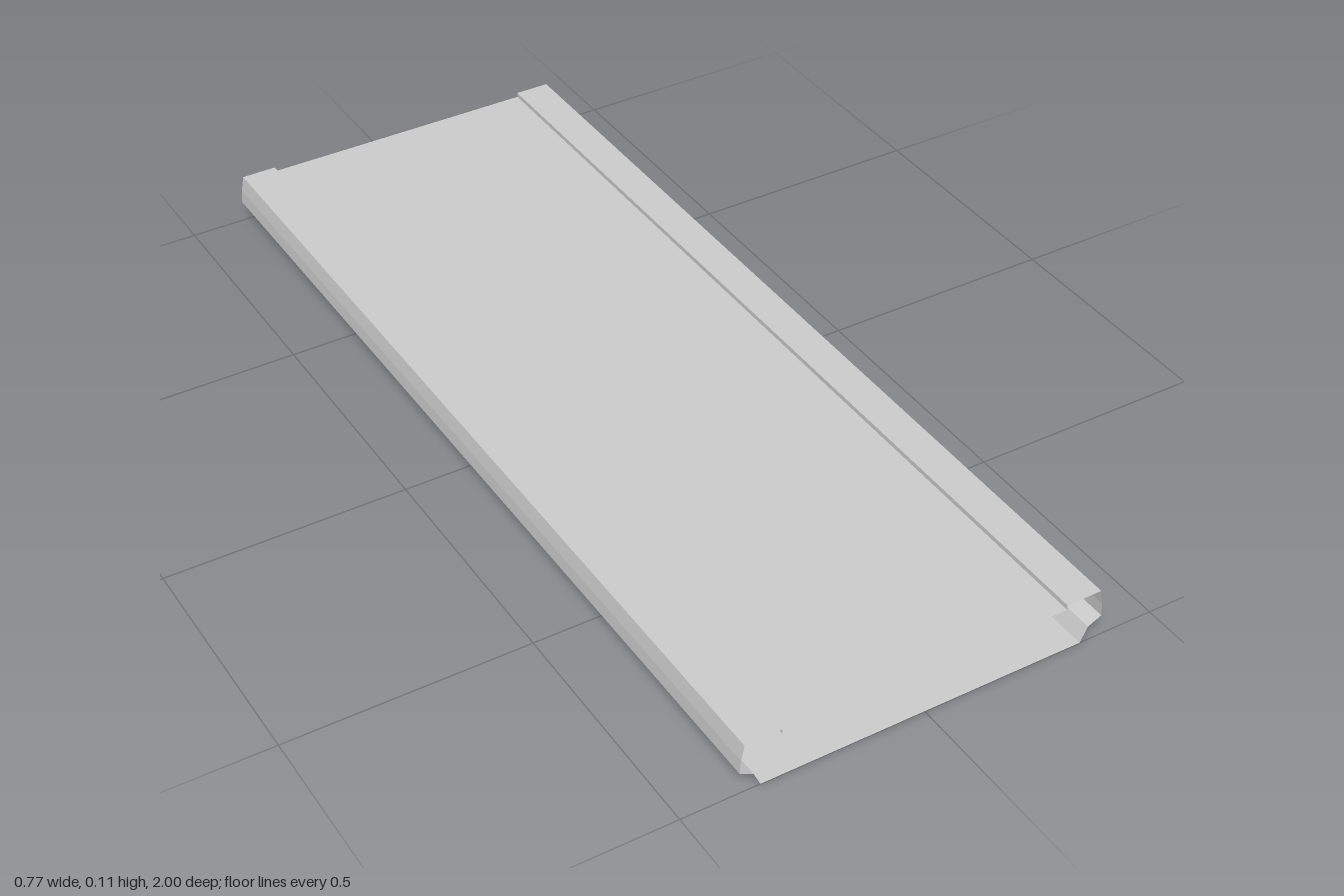
import * as THREE from 'three';

const HALF_LENGTH = 1;
const material = new THREE.MeshStandardMaterial({
  color: 0xcccccc, flatShading: true, side: THREE.DoubleSide,
});

// Sweeps an open [x, y] profile along z, leaving the ends open.
// Profiles run clockwise as seen from +z, so the faces point outward.
function sheet(name, profile) {
  const positions = [];
  for (let i = 0; i < profile.length - 1; i++) {
    const [ax, ay] = profile[i];
    const [bx, by] = profile[i + 1];
    const a0 = [ax, ay, HALF_LENGTH], a1 = [ax, ay, -HALF_LENGTH];
    const b0 = [bx, by, HALF_LENGTH], b1 = [bx, by, -HALF_LENGTH];
    positions.push(...a0, ...b0, ...b1, ...a0, ...b1, ...a1);
  }
  const geometry = new THREE.BufferGeometry();
  geometry.setAttribute('position', new THREE.Float32BufferAttribute(positions, 3));
  geometry.computeVertexNormals();
  const mesh = new THREE.Mesh(geometry, material);
  mesh.name = name;
  return mesh;
}

export function createModel() {
  const group = new THREE.Group();
  group.name = 'hollowPanel';

  const step = 0.3, panelY = 0.098, baseX = 0.34;

  // Raised rim, leaning side wall, undercut and tapered foot
  const edge = [
    [step, panelY], [step, 0.108], [0.375, 0.108], [0.381, 0.075],
    [0.383, 0.046], [0.355, 0.032], [baseX, 0],
  ];
  const mirrored = edge.map(([x, y]) => [-x, y]).reverse();

  group.add(
    sheet('topPanel', [[-step, panelY], [step, panelY]]),
    sheet('bottomPanel', [[baseX, 0], [-baseX, 0]]),
    sheet('leftEdge', edge),
    sheet('rightEdge', mirrored),
  );
  return group;
}
